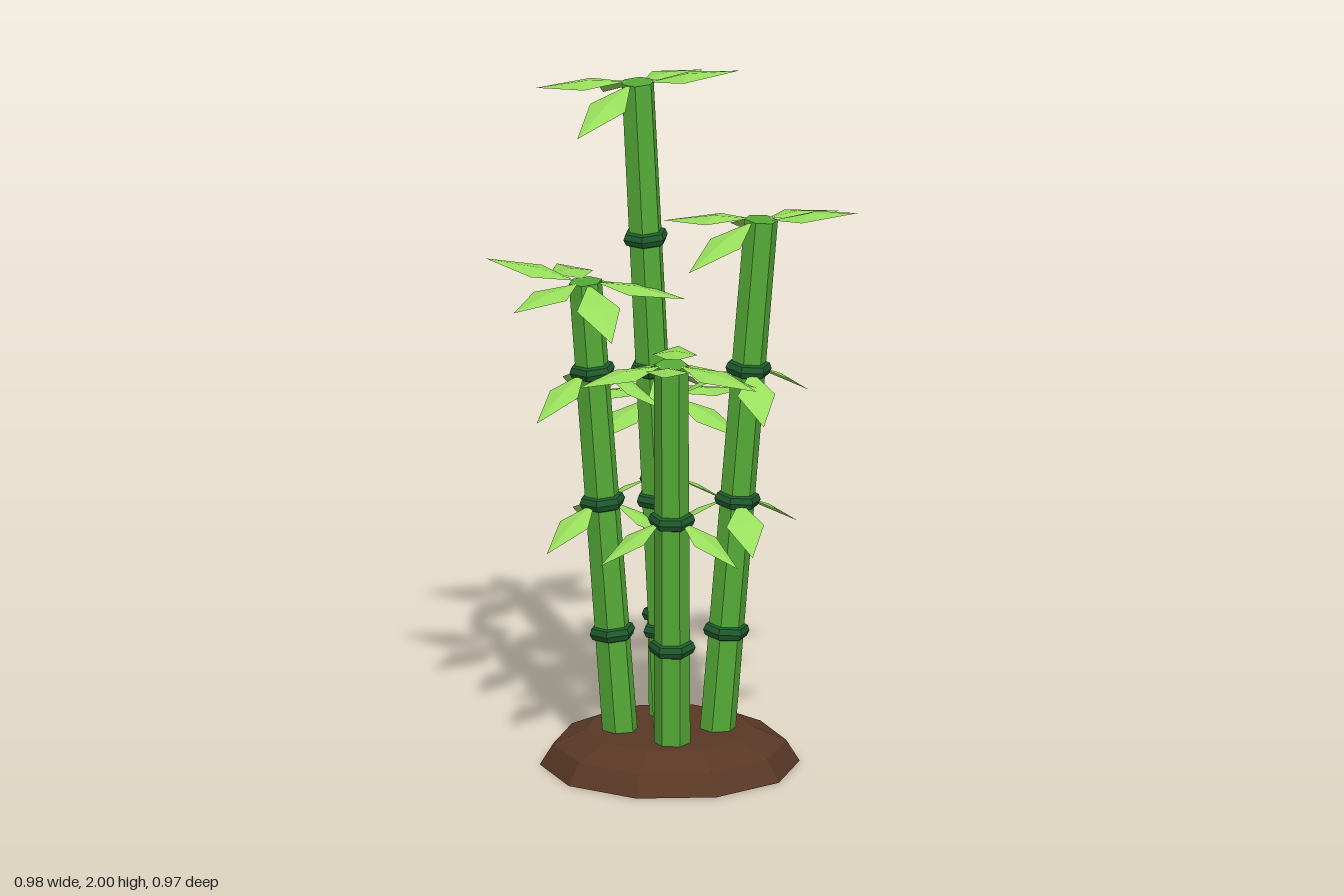
import * as THREE from 'three';

const rad = THREE.MathUtils.degToRad;
const mat = (color, side = THREE.FrontSide) =>
  new THREE.MeshStandardMaterial({ color, flatShading: true, side });
const soilMat = mat(0x5a3825);
const caneMat = mat(0x55ab37);
const ringMat = mat(0x1f5a2c);
const leafMat = mat(0x98de5c, THREE.DoubleSide);

// Canes: foot and top as [x, z], height, leaf phase,
// crown leaves as [angle offset, rise of the tip], and the leafy joints
const droop = -0.11, level = -0.03, up = 0.045;
const crown = [[0, up], [-60, level], [-120, droop], [-180, level], [-240, droop]];
const fullCrown = [...crown, [60, level]];
const CANES = [
  { foot: [0, -0.005], top: [-0.092, -0.024], h: 1.95, phase: 30, leaves: crown, joints: [2] },
  { foot: [0.11, 0.053], top: [0.226, 0.094], h: 1.555, phase: 40, leaves: crown, joints: [1, 2] },
  { foot: [-0.138, -0.03], top: [-0.234, -0.055], h: 1.385, phase: 215, leaves: fullCrown, joints: [1, 2] },
  { foot: [-0.052, 0.137], top: [-0.09, 0.228], h: 1.21, phase: 115, leaves: fullCrown, joints: [1] },
  { foot: [0.028, -0.11], top: [0.052, -0.214], h: 0.985, phase: 285, leaves: fullCrown, joints: [1] },
];
const JOINT_HEIGHTS = [0.38, 0.755, 1.13, 1.505];
const FOOT_Y = 0.05;

// Thin diamond leaf pointing along +x with a slight rib
function leafGeometry() {
  const g = new THREE.BufferGeometry();
  g.setAttribute('position', new THREE.Float32BufferAttribute([
    0, 0, 0,  0.11, 0, 0.062,  0.255, 0, 0,  0.11, 0, -0.062,  0.11, 0.011, 0,
  ], 3));
  g.setIndex([0, 1, 4, 1, 2, 4, 2, 3, 4, 3, 0, 4]);
  g.computeVertexNormals();
  return g;
}
const leafGeo = leafGeometry();

function addLeaf(parent, at, angle, rise, scale, name) {
  const leaf = new THREE.Mesh(leafGeo, leafMat);
  leaf.name = name;
  const a = rad(angle);
  leaf.position.set(at.x + Math.cos(a) * 0.03, at.y, at.z + Math.sin(a) * 0.03);
  leaf.rotation.set(0, -a, Math.atan2(rise, 0.25), 'YXZ');
  leaf.scale.setScalar(scale);
  parent.add(leaf);
}

function makeCane({ foot, top, h, phase, leaves, joints }) {
  const cane = new THREE.Group();
  cane.name = 'cane';
  const a = new THREE.Vector3(foot[0], FOOT_Y, foot[1]);
  const b = new THREE.Vector3(top[0], h, top[1]);
  const dir = b.clone().sub(a);
  const tilt = new THREE.Quaternion().setFromUnitVectors(
    new THREE.Vector3(0, 1, 0), dir.clone().normalize());

  // Six-sided stem
  const stem = new THREE.Mesh(
    new THREE.CylinderGeometry(0.047, 0.05, dir.length(), 6).rotateY(-rad(phase)), caneMat);
  stem.name = 'stem';
  stem.position.copy(a).lerp(b, 0.5);
  stem.quaternion.copy(tilt);
  cane.add(stem);

  // Dark joint rings, some with three short drooping leaves
  JOINT_HEIGHTS.forEach((y, i) => {
    if (y > h - 0.1) return;
    const at = a.clone().lerp(b, (y - FOOT_Y) / (h - FOOT_Y));
    const ring = new THREE.Mesh(
      new THREE.TorusGeometry(0.043, 0.022, 8, 6).rotateX(Math.PI / 2).rotateY(-rad(phase + 30)), ringMat);
    ring.name = 'jointRing';
    ring.position.copy(at);
    ring.quaternion.copy(tilt);
    cane.add(ring);
    if (joints.includes(i))
      for (let k = 0; k < 3; k++) addLeaf(cane, at, phase + 60 + k * 120, -0.14, 0.85, 'jointLeaf');
  });

  // Crown of leaves
  for (const [offset, rise] of leaves) addLeaf(cane, b, phase + offset, rise, 1, 'crownLeaf');
  return cane;
}

export function createModel() {
  const model = new THREE.Group();
  model.name = 'bambooClump';

  // Ten-sided soil mound
  const profile = [[0, 0], [0.357, 0], [0.32, 0.06], [0.23, 0.1], [0, 0.1]]
    .map(([r, y]) => new THREE.Vector2(r, y));
  const mound = new THREE.Mesh(new THREE.LatheGeometry(profile, 10), soilMat);
  mound.name = 'soilMound';
  mound.position.set(-0.01, 0, 0.008);
  model.add(mound);

  for (const c of CANES) model.add(makeCane(c));
  return model;
}
